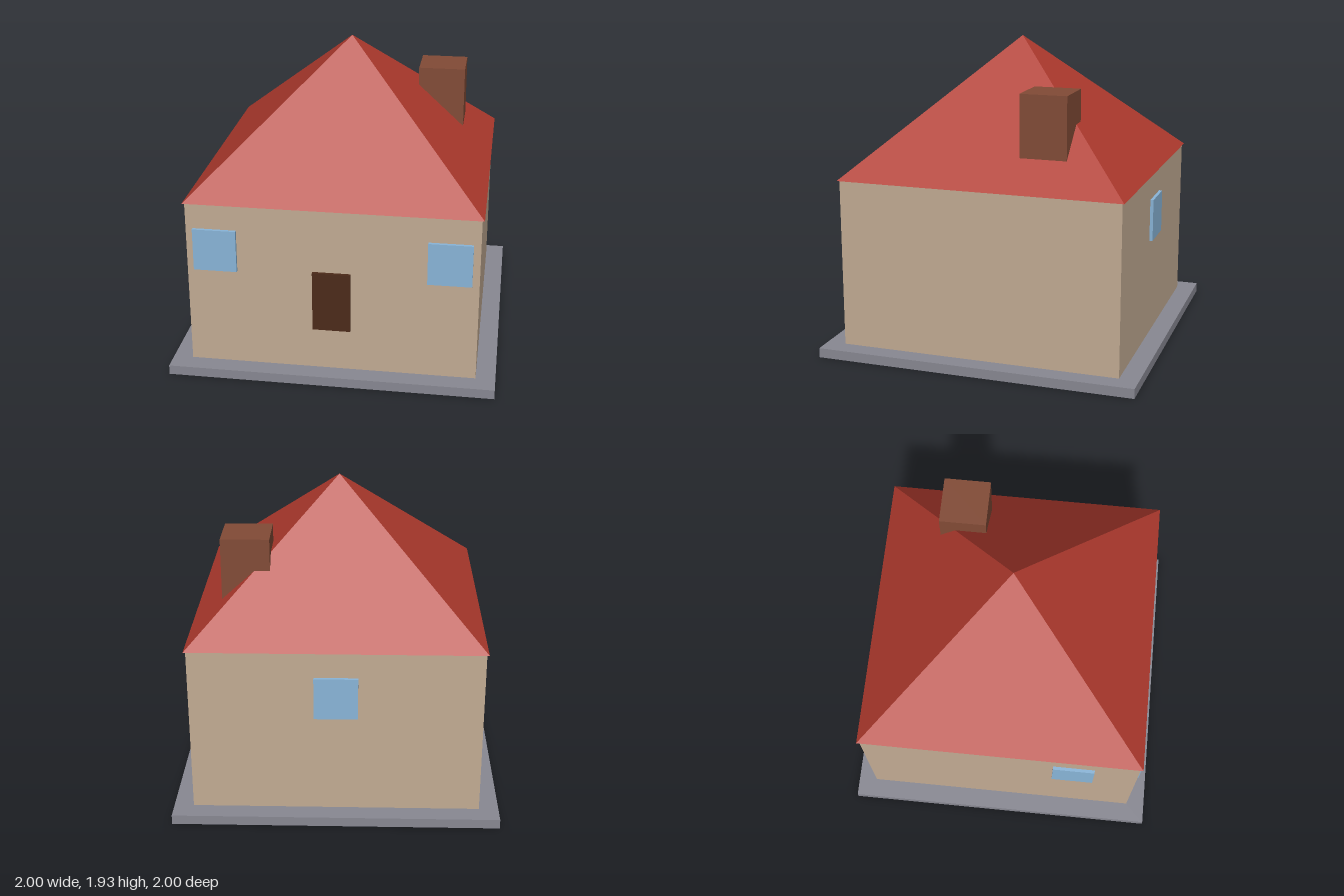
import * as THREE from 'three';

const mat = (color) => new THREE.MeshStandardMaterial({ color, flatShading: true });

export function createModel() {
  const house = new THREE.Group();
  house.name = 'house';

  const stone = mat(0x888892);
  const plaster = mat(0xc2ab93);
  const tile = mat(0xb03a2e);
  const brick = mat(0x824b36);
  const glass = mat(0x89b5d8);
  const wood = mat(0x4c2a19);

  // Box given by its minimum and maximum corners
  function box(name, material, [x0, y0, z0], [x1, y1, z1]) {
    const mesh = new THREE.Mesh(new THREE.BoxGeometry(x1 - x0, y1 - y0, z1 - z0), material);
    mesh.position.set((x0 + x1) / 2, (y0 + y1) / 2, (z0 + z1) / 2);
    mesh.name = name;
    house.add(mesh);
    return mesh;
  }

  // Foundation slab and walls
  box('foundation', stone, [-1, 0, -1], [1, 0.06, 1]);
  box('walls', plaster, [-0.88, 0.06, -0.88], [0.88, 1.11, 0.88]);

  // Pyramid roof with a slight overhang
  const roofHeight = 0.82;
  const roofGeometry = new THREE.ConeGeometry(0.893 * Math.SQRT2, roofHeight, 4);
  roofGeometry.rotateY(Math.PI / 4);
  const roof = new THREE.Mesh(roofGeometry, tile);
  roof.position.y = 1.11 + roofHeight / 2;
  roof.name = 'roof';
  house.add(roof);

  // Chimney, sunk into the roof
  box('chimney', brick, [0.405, 1.28, -0.5], [0.7, 1.67, -0.21]);

  // Front door
  box('door', wood, [-0.115, 0.33, 0.86], [0.115, 0.71, 0.9]);

  // Windows: two in front, one at the back, one on the right-hand wall
  for (const side of [-1, 1]) {
    const x = side * 0.705;
    box(side > 0 ? 'frontLeftWindow' : 'frontRightWindow', glass,
      [x - 0.132, 0.685, 0.86], [x + 0.132, 0.95, 0.9]);
  }
  box('backWindow', glass, [-0.132, 0.685, -0.9], [0.132, 0.95, -0.86]);
  box('sideWindow', glass, [-0.9, 0.685, 0.338], [-0.86, 0.95, 0.602]);

  return house;
}
